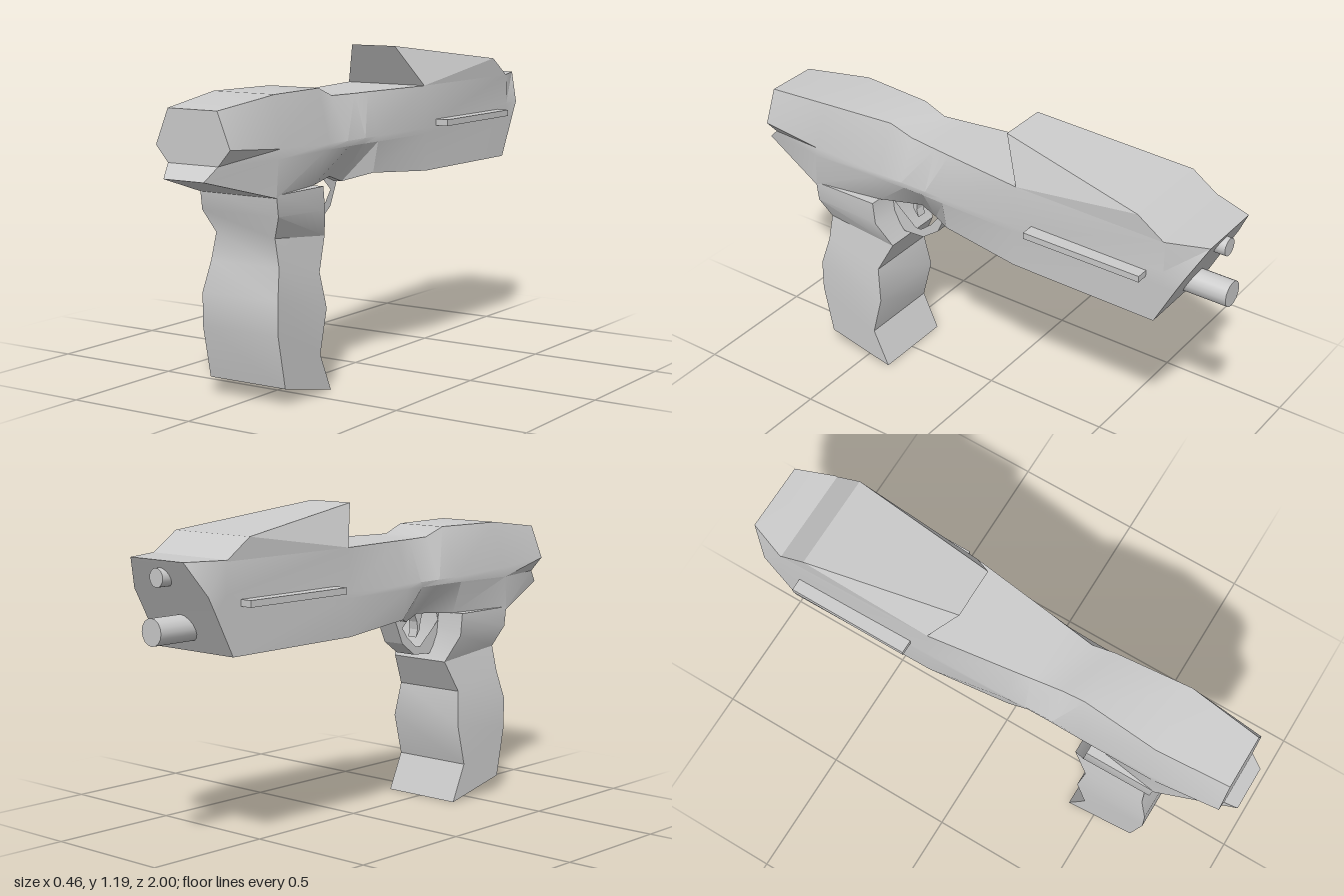
import * as THREE from 'three';
import { toCreasedNormals } from 'three/addons/utils/BufferGeometryUtils.js';
import { ConvexGeometry } from 'three/addons/geometries/ConvexGeometry.js';

const grey = new THREE.MeshStandardMaterial({ color: 0xcccccc });
const CX = -0.007; // the shell's centre line

// Skin a list of mirrored rings and close both ends with strips
function loft(rings) {
  const n = rings[0].length, pos = [];
  const quad = (a, b, c, d) => pos.push(...a, ...b, ...d, ...b, ...c, ...d);
  for (let i = 0; i < rings.length - 1; i++) {
    for (let j = 0; j < n; j++) {
      const k = (j + 1) % n;
      quad(rings[i][j], rings[i][k], rings[i + 1][k], rings[i + 1][j]);
    }
  }
  const first = rings[0], last = rings[rings.length - 1];
  for (let k = 0; k < n / 2 - 1; k++) {
    quad(first[k], first[n - 1 - k], first[n - 2 - k], first[k + 1]);
    quad(last[k], last[k + 1], last[n - 2 - k], last[n - 1 - k]);
  }
  const g = new THREE.BufferGeometry();
  g.setAttribute('position', new THREE.Float32BufferAttribute(pos, 3));
  return toCreasedNormals(g, 0.45);
}

// Half a cross-section plus its mirror image
const mirrored = (half) => [...half, ...half.slice().reverse().map(([x, y, z]) => [-x, y, z])];

// Side profile (z, y) extruded across x
function plate(points, width, hole) {
  const shape = new THREE.Shape(points.map((p) => new THREE.Vector2(...p)));
  if (hole) shape.holes.push(new THREE.Path(hole.map((p) => new THREE.Vector2(...p))));
  const g = new THREE.ExtrudeGeometry(shape, { depth: width, bevelEnabled: false });
  return g.rotateY(-Math.PI / 2).translate(width / 2, 0, 0);
}

export function createModel() {
  const group = new THREE.Group();
  const add = (name, geometry, x = CX, y = 0, z = 0) => {
    const mesh = new THREE.Mesh(geometry, grey);
    mesh.name = name;
    mesh.position.set(x, y, z);
    group.add(mesh);
    return mesh;
  };

  // Body: top edge, widest edge, lower side edge, bottom edge at each station
  const stations = [
    [[0.103, 1.035, 0.95], [0.155, 0.91, 0.95], [0.105, 0.853, 0.95], [0.084, 0.805, 1.0]],
    [[0.13, 1.07, 0.67], [0.165, 0.89, 0.69], [0.165, 0.855, 0.7], [0.163, 0.725, 0.71]],
    [[0.105, 1.07, 0.38], [0.167, 0.88, 0.4], [0.167, 0.86, 0.42], [0.12, 0.735, 0.43]],
    [[0.1, 1.037, 0.29], [0.168, 0.88, 0.29], [0.166, 0.86, 0.28], [0.075, 0.745, 0.27]],
    [[0.117, 1.037, 0.17], [0.17, 0.88, 0.18], [0.167, 0.86, 0.19], [0.08, 0.72, 0.2]],
    [[0.127, 1.038, 0.1], [0.172, 0.88, 0.1], [0.172, 0.86, 0.1], [0.15, 0.745, 0.1]],
    [[0.17, 1.04, -0.22], [0.178, 0.88, -0.22], [0.178, 0.86, -0.22], [0.178, 0.72, -0.22]],
    [[0.183, 1.045, -0.83], [0.183, 0.93, -0.83], [0.183, 0.87, -0.83], [0.183, 0.718, -0.78]],
    [[0.13, 1.045, -0.972], [0.183, 0.93, -0.912], [0.183, 0.87, -0.88], [0.183, 0.718, -0.802]],
  ];
  add('body', loft(stations.map(mirrored)));

  // Raised top cover with an undercut end
  const cover = [[0.095, 1.19, -0.13], [0.17, 1.04, -0.22], [0.183, 1.115, -0.72], [0.183, 1.04, -0.83]];
  add('topCover', new ConvexGeometry(mirrored(cover).map((p) => new THREE.Vector3(...p))));

  // Grip: half width, y and z at the back strap, y and z at the finger side
  const grip = [
    [0.163, 0.735, 0.71, 0.735, 0.435], [0.163, 0.66, 0.7, 0.65, 0.425],
    [0.126, 0.58, 0.67, 0.55, 0.375], [0.146, 0.48, 0.675, 0.43, 0.435],
    [0.162, 0.37, 0.705, 0.3, 0.415], [0.162, 0.25, 0.705, 0.14, 0.455],
    [0.162, 0.06, 0.665, 0, 0.39],
  ];
  add('grip', loft(grip.map(([w, yb, zb, yf, zf]) => mirrored([[w, yf, zf], [w, yb, zb]]))));

  // Trigger guard and curved trigger
  add('triggerGuard', plate(
    [[0.44, 0.76], [0.44, 0.65], [0.38, 0.575], [0.29, 0.58], [0.22, 0.63], [0.17, 0.74], [0.2, 0.77]], 0.09,
    [[0.43, 0.7], [0.41, 0.612], [0.3, 0.61], [0.25, 0.65], [0.22, 0.69], [0.27, 0.735], [0.38, 0.745], [0.42, 0.735]]));
  add('trigger', plate(
    [[0.375, 0.75], [0.355, 0.7], [0.352, 0.67], [0.33, 0.64], [0.338, 0.67], [0.335, 0.7], [0.31, 0.75]], 0.04));

  // Muzzle tubes
  const tubes = [['mainBarrel', 0.048, 0.805, -1.0], ['upperBarrel', 0.033, 0.985, -0.975]];
  for (const [name, r, y, end] of tubes) {
    const g = new THREE.CylinderGeometry(r, r, 0.3, 16).rotateX(Math.PI / 2);
    add(name, g, CX, y, end + 0.15);
  }

  // Side rails
  for (const s of [1, -1]) {
    add(s > 0 ? 'leftRail' : 'rightRail', new THREE.BoxGeometry(0.07, 0.024, 0.47), CX + s * 0.194, 0.897, -0.528);
  }
  return group;
}
